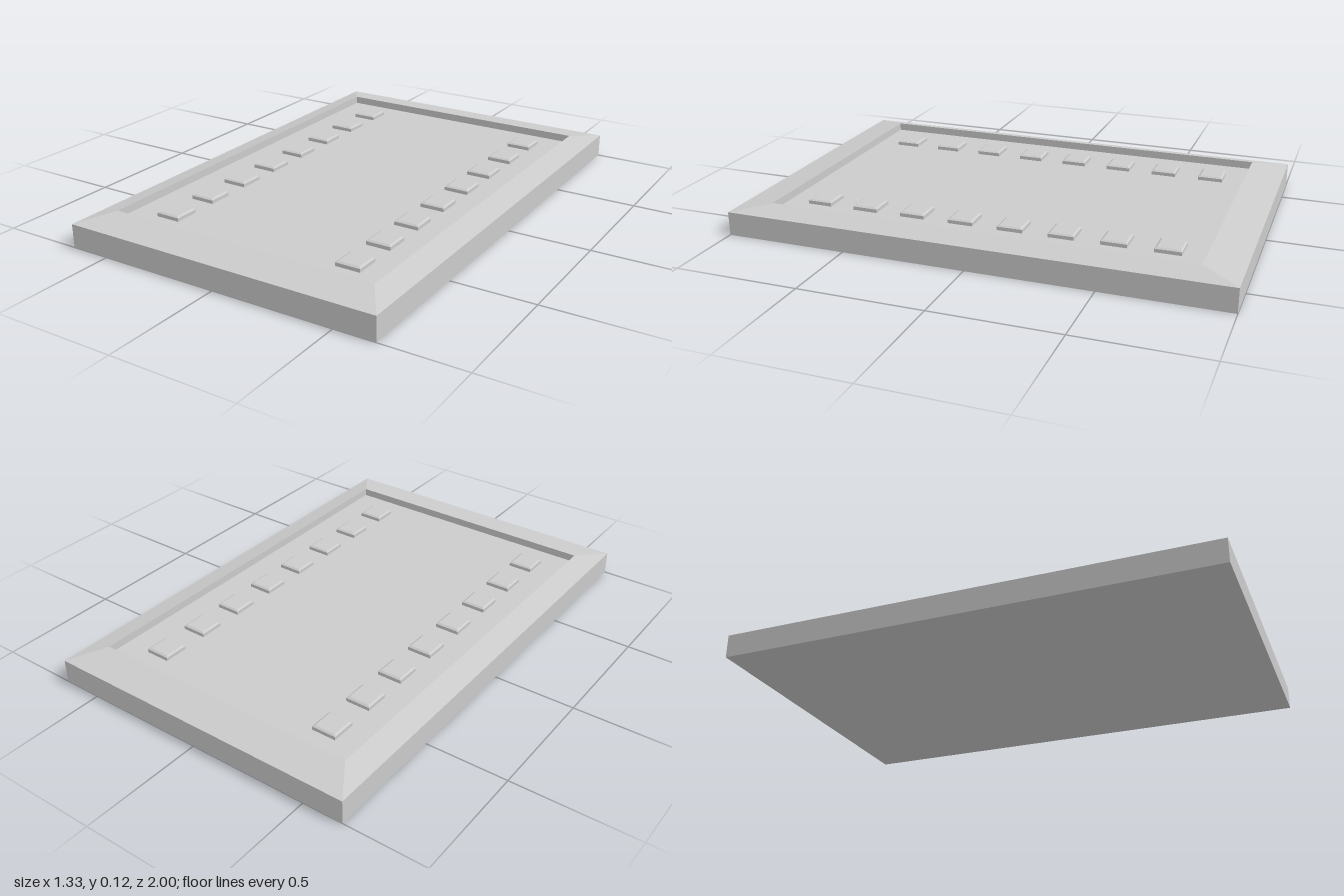
import * as THREE from 'three';

const material = new THREE.MeshStandardMaterial({ color: 0xcccccc, flatShading: true });

// Lofts rectangular rings [halfX, y, halfZ] and caps the first (facing down) and last (facing up).
function rectLoft(rings) {
  const loops = rings.map(([x, y, z]) => [[-x, y, z], [x, y, z], [x, y, -z], [-x, y, -z]]);
  const pos = [];
  const quad = (a, b, c, d) => pos.push(...a, ...b, ...c, ...a, ...c, ...d);
  for (let i = 0; i < loops.length - 1; i++) {
    const lo = loops[i], hi = loops[i + 1];
    for (let k = 0; k < 4; k++) {
      const n = (k + 1) % 4;
      quad(lo[k], lo[n], hi[n], hi[k]);
    }
  }
  const first = loops[0], last = loops[loops.length - 1];
  quad(first[3], first[2], first[1], first[0]);
  quad(last[0], last[1], last[2], last[3]);
  const geometry = new THREE.BufferGeometry();
  geometry.setAttribute('position', new THREE.Float32BufferAttribute(pos, 3));
  geometry.computeVertexNormals();
  return geometry;
}

export function createModel() {
  const model = new THREE.Group();
  model.name = 'studdedTray';
  const floorY = 0.088;

  // Slab with a sloped rim rising inward, then dropping to the recessed floor
  const tray = new THREE.Mesh(rectLoft([
    [0.665, 0, 1],
    [0.665, 0.096, 1],
    [0.57, 0.12, 0.855],
    [0.57, floorY, 0.855],
  ]), material);
  tray.name = 'tray';
  model.add(tray);

  // Two rows of eight small pads with chamfered tops
  const padGeometry = rectLoft([
    [0.051, -0.005, 0.051],
    [0.051, 0.014, 0.051],
    [0.043, 0.019, 0.043],
  ]);
  for (const side of [-1, 1]) {
    const row = new THREE.Group();
    row.name = side > 0 ? 'leftPadRow' : 'rightPadRow';
    for (let i = 0; i < 8; i++) {
      const pad = new THREE.Mesh(padGeometry, material);
      pad.name = 'pad';
      pad.position.set(side * 0.405, floorY, (i - 3.5) * 0.203);
      row.add(pad);
    }
    model.add(row);
  }
  return model;
}
